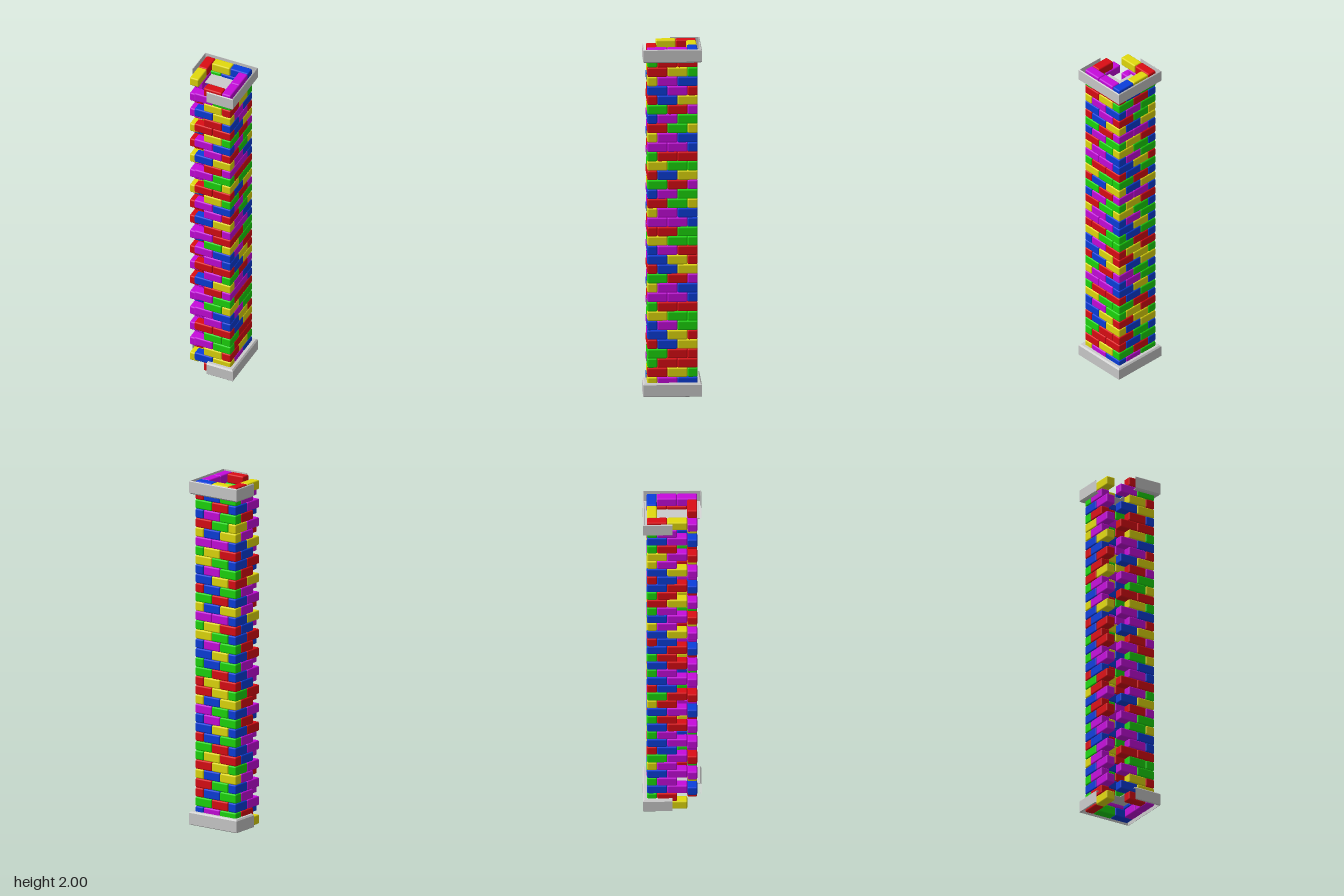
import * as THREE from 'three';
import { RoundedBoxGeometry } from 'three/addons/geometries/RoundedBoxGeometry.js';

const COLORS = { R: 0xdc0c14, Y: 0xe2da0c, G: 0x1cd80c, B: 0x0a3edc, M: 0xc60adc };

// Seven brick colours per course, from the top course down
const COURSES = [
  'YRYBMMR', 'MGBRRGM', 'MBRGYRY', 'RGMBMYB', 'MYGRMBR', 'MYBYBRR', 'YBMMRGY', 'BRYGMBM',
  'RBGYGRM', 'RGMBMYB', 'YRYBMMR', 'MGBRRGM', 'MBRGGYG', 'MYBYBRR', 'YBMMRGY', 'BRYGMBM',
  'RBGYGRM', 'RGMBMYB', 'RBYBMMR', 'MGBGRRM', 'MBRGGYG', 'BRYRMBM', 'RGYRYBM', 'RYBYBRR',
  'MBGMRGM', 'RGMBMYB', 'RBYBMMR', 'MGBRRGM', 'MBRGGYG', 'BRYGMBM', 'MGYRYBM', 'MYBYBRR',
  'MBGRRGG', 'MGBRRGM', 'MBRGYRY', 'RGMBMYB', 'YRGBMMR',
];

// Ring of 15 grid cells [x, z], running round the tower with one corner left out
const CELLS = [
  [0, 3], [0, 2], [0, 1], [0, 0], [1, 0], [2, 0], [3, 0], [4, 0],
  [4, 1], [4, 2], [4, 3], [4, 4], [3, 4], [2, 4], [1, 4],
];
const CELL = 0.0567;
const COURSE_H = 2 / COURSES.length;
const R = 0.165; // half width of a tray
const TRAY_H = 0.077;

function createBricks() {
  const bricks = new THREE.Group();
  bricks.name = 'bricks';
  const gap = 0.0006;
  const alongX = new RoundedBoxGeometry(2 * CELL - gap, COURSE_H - gap, CELL - gap, 2, 0.008);
  const alongZ = alongX.clone().rotateY(Math.PI / 2);
  const materials = {};
  for (const key in COLORS) materials[key] = new THREE.MeshStandardMaterial({ color: COLORS[key] });

  COURSES.forEach((colors, k) => {
    const course = new THREE.Group();
    course.name = 'course' + (k + 1);
    course.position.y = 2 - (k + 0.5) * COURSE_H;
    // Alternate courses shift by one cell, which makes the running bond
    for (let i = 0; i < 7; i++) {
      const a = CELLS[2 * i + (k % 2)];
      const b = CELLS[2 * i + 1 + (k % 2)];
      const brick = new THREE.Mesh(a[1] === b[1] ? alongX : alongZ, materials[colors[i]]);
      brick.name = 'brick';
      brick.position.set(((a[0] + b[0]) / 2 - 2) * CELL - 0.0015, 0, ((a[1] + b[1]) / 2 - 2) * CELL - 0.0005);
      course.add(brick);
    }
    bricks.add(course);
  });
  return bricks;
}

// Thin wall with bevelled edges, swept round the tray and open at one quadrant
function createWallGeometry() {
  const path = [[0, 1], [1, 1], [1, -1], [-1, -1], [-1, 0]];
  const profile = [
    [0.008, 0], [0, 0.008], [0, TRAY_H - 0.004], [0.004, TRAY_H],
    [0.006, TRAY_H], [0.006, 0.008], [0.012, 0.004],
  ];
  const n = profile.length;
  const positions = [];
  const index = [];
  for (const [x, z] of path) {
    for (const [inset, y] of profile) positions.push(x * (R - inset), y, z * (R - inset));
  }
  for (let s = 0; s < path.length - 1; s++) {
    for (let j = 0; j < n; j++) {
      const a = s * n + j;
      const b = s * n + (j + 1) % n;
      index.push(a, a + n, b, b, a + n, b + n);
    }
  }
  const geometry = new THREE.BufferGeometry();
  geometry.setAttribute('position', new THREE.Float32BufferAttribute(positions, 3));
  geometry.setIndex(index);
  const flat = geometry.toNonIndexed();
  flat.computeVertexNormals();
  return flat;
}

// Three-quarter floor plate of the tray
function createFloorGeometry() {
  const r = R - 0.008;
  const corners = [[0, 0], [0, -r], [r, -r], [r, r], [-r, r], [-r, 0]];
  const shape = new THREE.Shape(corners.map(([x, y]) => new THREE.Vector2(x, y)));
  return new THREE.ExtrudeGeometry(shape, { depth: 0.004, bevelEnabled: false }).rotateX(-Math.PI / 2);
}

export function createModel() {
  const model = new THREE.Group();
  model.name = 'brickTower';
  model.add(createBricks());

  const grey = new THREE.MeshStandardMaterial({ color: 0xcccccc, side: THREE.DoubleSide });
  const wall = createWallGeometry();
  const floor = createFloorGeometry();
  const addTray = (name) => {
    const tray = new THREE.Group();
    tray.name = name;
    for (const [part, geometry] of [['trayWall', wall], ['trayFloor', floor]]) {
      const mesh = new THREE.Mesh(geometry, grey);
      mesh.name = part;
      tray.add(mesh);
    }
    model.add(tray);
    return tray;
  };

  addTray('topTray').position.y = 2 - TRAY_H;

  // Turned over about the diagonal, so the open quadrant stays at the same corner
  const base = addTray('baseTray');
  base.position.y = TRAY_H;
  base.quaternion.setFromAxisAngle(new THREE.Vector3(1, 0, -1).normalize(), Math.PI);
  return model;
}
